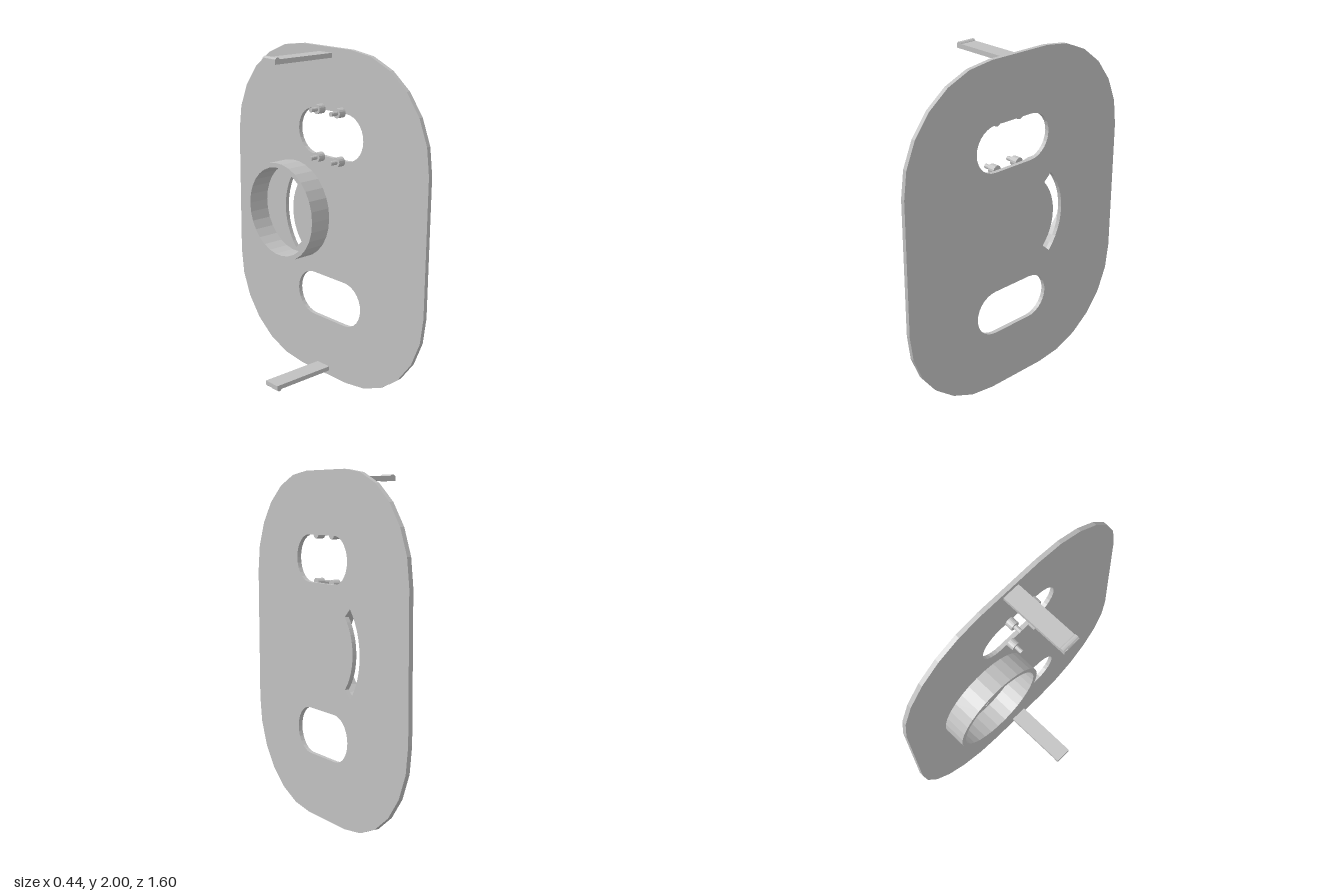
import * as THREE from 'three';

const arc = (cx, cy, r, a0, a1, n) =>
  Array.from({ length: n + 1 }, (_, i) => {
    const a = THREE.MathUtils.degToRad(a0 + ((a1 - a0) * i) / n);
    return new THREE.Vector2(cx + r * Math.cos(a), cy + r * Math.sin(a));
  });

export function createModel() {
  const group = new THREE.Group();
  const grey = new THREE.MeshStandardMaterial({ color: 0xc0c0c0, flatShading: true });
  grey.name = 'plain grey';
  const BACK = 0.195; // inner face of the plate

  const add = (name, geometry, x = 0, y = 0, z = 0) => {
    const mesh = new THREE.Mesh(geometry, grey);
    mesh.name = name;
    mesh.position.set(x, y, z);
    group.add(mesh);
    return mesh;
  };
  // Extrude an outline drawn in (-z, y) along +x
  const extrudeX = (shape, depth) =>
    new THREE.ExtrudeGeometry(shape, { depth, bevelEnabled: false, curveSegments: 15 }).rotateY(Math.PI / 2);

  // Cover plate with rounded corners
  const plate = new THREE.Shape([
    ...arc(0.2, 1.4, 0.6, 0, 90, 6),
    ...arc(-0.2, 1.4, 0.6, 90, 180, 6),
    ...arc(-0.2, 0.6, 0.6, 180, 270, 6),
    ...arc(0.2, 0.6, 0.6, 270, 360, 6),
  ]);
  // Two oblong windows
  for (const y of [0.5, 1.505]) {
    plate.holes.push(new THREE.Path([
      ...arc(0.092, y, 0.136, -90, 90, 14),
      ...arc(-0.175, y, 0.136, 90, 270, 14),
    ]));
  }
  // Curved slot
  plate.holes.push(new THREE.Path([
    ...arc(-0.02, 1, 0.372, -42, 42, 12),
    ...arc(-0.02, 1, 0.302, 42, -42, 12),
  ]));
  add('coverPlate', extrudeX(plate, 0.025), BACK);

  // Open collar around the curved slot
  const collar = new THREE.Shape(arc(0, 0, 0.3, 0, 348, 29));
  collar.holes.push(new THREE.Path(arc(0, 0, 0.272, 0, 348, 29)));
  add('collar', extrudeX(collar, BACK - 0.06), 0.06, 1, -0.26);

  // Snap clips with a rounded catch at the tip
  for (const side of [1, -1]) {
    const y = 1 + side * 0.956;
    const name = side > 0 ? 'top' : 'bottom';
    add(name + 'ClipArm', new THREE.BoxGeometry(BACK + 0.22, 0.027, 0.104), (BACK - 0.22) / 2, y, 0);
    const catchBar = new THREE.CylinderGeometry(0.018, 0.018, 0.104, 12).rotateX(Math.PI / 2);
    add(name + 'ClipCatch', catchBar, -0.202, y + side * 0.006, 0);
  }

  // Stepped pegs beside the upper window
  for (const y of [1.365, 1.646]) {
    for (const z of [0.14, -0.027]) {
      const base = new THREE.CylinderGeometry(0.028, 0.028, 0.045, 16).rotateZ(Math.PI / 2);
      const pin = new THREE.CylinderGeometry(0.013, 0.013, 0.05, 12).rotateZ(Math.PI / 2);
      add('pegBase', base, BACK - 0.0225, y, z);
      add('pegPin', pin, 0.13, y, z);
    }
  }
  return group;
}
